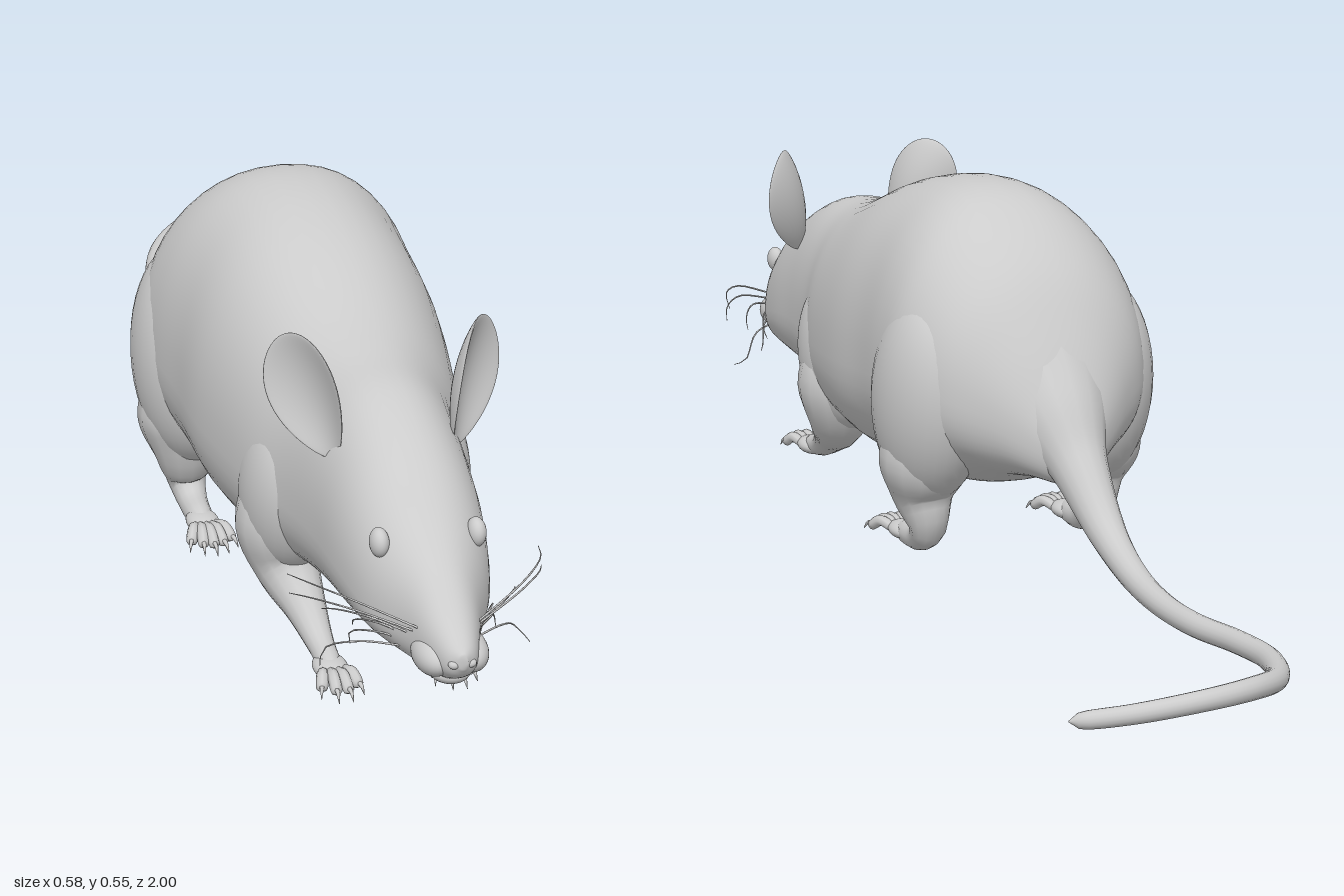
import * as THREE from 'three';
import { mergeVertices } from 'three/addons/utils/BufferGeometryUtils.js';

const V = (x, y, z) => new THREE.Vector3(x, y, z);
const material = new THREE.MeshStandardMaterial({ color: 0xcccccc, roughness: 0.8 });
const CX = -0.073; // the body sits left of the curling tail

function mesh(name, geometry) {
  const m = new THREE.Mesh(geometry, material);
  m.name = name;
  return m;
}

// Weld seams so the normals run smoothly all round
function weld(geometry) {
  geometry.deleteAttribute('uv');
  geometry.deleteAttribute('normal');
  const g = mergeVertices(geometry, 1e-5);
  g.computeVertexNormals();
  return g;
}

// Tube whose radius follows the fourth number of each point [x, y, z, r]
function taperedTube(points, steps = 24, sides = 14) {
  const path = new THREE.CatmullRomCurve3(points.map(p => V(p[0], p[1], p[2])));
  const radii = new THREE.CatmullRomCurve3(points.map(p => V(p[3], 0, 0)), false, 'catmullrom');
  const g = new THREE.TubeGeometry(path, steps, 1, sides);
  const pos = g.attributes.position, v = V(0, 0, 0);
  for (let i = 0; i <= steps; i++) {
    const c = path.getPointAt(i / steps);
    const r = Math.max(0.0003, radii.getPoint(path.getUtoTmapping(i / steps)).x);
    for (let j = 0; j <= sides; j++) {
      const k = i * (sides + 1) + j;
      v.fromBufferAttribute(pos, k).sub(c).multiplyScalar(r).add(c);
      pos.setXYZ(k, v.x, v.y, v.z);
    }
  }
  return weld(g);
}

function ellipsoid(name, center, radii, tilt = 0) {
  const m = mesh(name, new THREE.SphereGeometry(1, 32, 24));
  m.position.set(...center);
  m.scale.set(...radii);
  m.rotation.x = tilt;
  return m;
}

// Head and torso: cross-sections of [z, bottom, widest height, top, half width]
function bodyGeometry() {
  const rows = [
    [1.0, 0.176, 0.185, 0.195, 0.006], [0.985, 0.158, 0.18, 0.207, 0.022],
    [0.95, 0.142, 0.185, 0.232, 0.036], [0.9, 0.136, 0.19, 0.272, 0.054],
    [0.83, 0.135, 0.2, 0.32, 0.086], [0.75, 0.13, 0.22, 0.378, 0.103],
    [0.65, 0.122, 0.23, 0.423, 0.113], [0.55, 0.11, 0.23, 0.44, 0.13],
    [0.45, 0.09, 0.24, 0.465, 0.16], [0.3, 0.083, 0.25, 0.52, 0.185],
    [0.18, 0.09, 0.26, 0.547, 0.19], [0.08, 0.1, 0.27, 0.547, 0.2],
    [0, 0.11, 0.27, 0.515, 0.2], [-0.08, 0.14, 0.27, 0.45, 0.168],
    [-0.14, 0.15, 0.25, 0.36, 0.11], [-0.19, 0.15, 0.21, 0.26, 0.05],
    [-0.22, 0.16, 0.185, 0.21, 0.02],
  ];
  const low = new THREE.CatmullRomCurve3(rows.map(r => V(r[0], r[1], r[2])), false, 'catmullrom');
  const high = new THREE.CatmullRomCurve3(rows.map(r => V(r[3], r[4], 0)), false, 'catmullrom');
  const n = 80, sides = 48, pos = [], index = [];
  const soft = c => Math.sign(c) * Math.pow(Math.abs(c), 2 / 2.2);
  for (let i = 0; i <= n; i++) {
    const a = low.getPoint(i / n), b = high.getPoint(i / n);
    for (let j = 0; j < sides; j++) {
      const t = (j / sides) * Math.PI * 2, s = soft(Math.sin(t));
      pos.push(soft(Math.cos(t)) * b.y, a.z + s * (s > 0 ? b.x - a.z : a.z - a.y), a.x);
      if (i === n) continue;
      const p = i * sides + j, q = i * sides + (j + 1) % sides;
      index.push(p, p + sides, q, q, p + sides, q + sides);
    }
  }
  // close the nose and rump
  for (let j = 1; j < sides - 1; j++) {
    index.push(0, j, j + 1, n * sides, n * sides + j + 1, n * sides + j);
  }
  const g = new THREE.BufferGeometry();
  g.setAttribute('position', new THREE.Float32BufferAttribute(pos, 3));
  g.setIndex(index);
  g.computeVertexNormals();
  return g;
}

// Cupped ear: a flattened sphere bent into a dish, narrow at its root
function earGeometry(s) {
  const g = new THREE.SphereGeometry(1, 32, 32);
  const pos = g.attributes.position;
  for (let i = 0; i < pos.count; i++) {
    const x = pos.getX(i), y = pos.getY(i), z = pos.getZ(i);
    const cup = x * x + 0.5 * y * y - 1;
    pos.setXYZ(i, x * 0.062 * (0.92 + 0.2 * y - 0.12 * y * y), y * 0.09, z * 0.007 + cup * 0.026 + 0.012);
  }
  const up = V(0.29 * s, 0.92, -0.26).normalize();
  const out = V(0.74 * s, 0, 0.67);
  const side = up.clone().cross(out).normalize();
  out.crossVectors(side, up);
  g.applyMatrix4(new THREE.Matrix4().makeBasis(side, up, out).setPosition(0.112 * s, 0.425, 0.645));
  return weld(g);
}

// Paw with a palm and fanned, clawed toes
function paw(name, x, z, length, spread, toes) {
  const g = new THREE.Group();
  g.name = name;
  g.add(ellipsoid('palm', [x, 0.018, z], [0.024, 0.014, 0.036]));
  for (let i = 0; i < toes; i++) {
    const f = (i / (toes - 1)) * 2 - 1;
    const reach = length * (1 - 0.28 * f * f);
    const at = (k, y, r) => [x + f * (0.014 + spread * k), y, z + 0.015 + reach * k, r];
    g.add(mesh('toe', taperedTube(
      [at(0, 0.018, 0.007), at(0.4, 0.024, 0.0085), at(0.72, 0.013, 0.008), at(0.8, 0.011, 0.001)], 10, 8)));
    g.add(mesh('claw', taperedTube(
      [at(0.7, 0.016, 0.004), at(0.85, 0.015, 0.003), at(1, 0.004, 0.0004)], 6, 6)));
  }
  return g;
}

export function createModel() {
  const model = new THREE.Group();
  model.name = 'rodent';
  const body = new THREE.Group();
  body.name = 'bodyGroup';
  body.position.x = CX;
  model.add(body);

  body.add(mesh('body', bodyGeometry()));
  body.add(ellipsoid('nose', [0, 0.183, 0.985], [0.019, 0.015, 0.014]));
  body.add(ellipsoid('chin', [0, 0.147, 0.935], [0.028, 0.016, 0.032]));

  for (const s of [1, -1]) {
    const side = s > 0 ? 'left' : 'right';
    const add = (part, geometry) => body.add(mesh(side + part, geometry));

    // face
    add('Ear', earGeometry(s));
    body.add(ellipsoid(side + 'Eye', [0.066 * s, 0.288, 0.83], [0.013, 0.02, 0.019]));
    body.add(ellipsoid(side + 'Cheek', [0.024 * s, 0.172, 0.935], [0.026, 0.026, 0.045]));
    body.add(ellipsoid(side + 'NostrilRim', [0.011 * s, 0.181, 0.992], [0.008, 0.006, 0.007]));
    for (let i = 0; i < 6; i++) {
      const y = 0.205 - 0.008 * i, end = 0.238 - 0.022 * i, reach = 0.115 + 0.045 * Math.sin(i * 1.1 + 1);
      add('Whisker', taperedTube([
        [0.036 * s, y, 0.93 - 0.006 * i, 0.0016],
        [(0.04 + reach * 0.45) * s, (y + end) / 2 + 0.012, 0.89 - 0.008 * i, 0.0014],
        [(0.04 + reach * 0.75) * s, end, 0.83 - 0.006 * i, 0.001],
        [(0.02 + reach) * s, end - 0.012, 0.765 + 0.012 * i, 0.0005]], 10, 5));
    }

    // front leg
    body.add(ellipsoid(side + 'Shoulder', [0.095 * s, 0.215, 0.465], [0.068, 0.125, 0.095], 0.2));
    add('FrontLeg', taperedTube([
      [0.1 * s, 0.25, 0.47, 0.04], [0.108 * s, 0.17, 0.462, 0.062], [0.1 * s, 0.105, 0.475, 0.048],
      [0.088 * s, 0.062, 0.53, 0.03], [0.081 * s, 0.03, 0.59, 0.019], [0.08 * s, 0.02, 0.635, 0.016],
      [0.08 * s, 0.018, 0.655, 0.004]]));
    body.add(paw(side + 'FrontPaw', 0.08 * s, 0.635, 0.075, 0.016, 4));

    // hind leg
    body.add(ellipsoid(side + 'Haunch', [0.135 * s, 0.25, 0.025], [0.083, 0.165, 0.115], -0.15));
    add('HindLeg', taperedTube([
      [0.135 * s, 0.22, 0.03, 0.06], [0.142 * s, 0.15, 0.03, 0.07], [0.142 * s, 0.095, 0.035, 0.048],
      [0.139 * s, 0.05, 0.025, 0.03], [0.137 * s, 0.024, 0.055, 0.022], [0.137 * s, 0.018, 0.11, 0.018],
      [0.137 * s, 0.018, 0.145, 0.004]]));
    body.add(paw(side + 'HindPaw', 0.137 * s, 0.118, 0.085, 0.022, 5));
  }

  // tail sweeping round to the left
  model.add(mesh('tail', taperedTube([
    [CX, 0.28, -0.08, 0.1], [CX, 0.235, -0.145, 0.072], [-0.074, 0.185, -0.205, 0.044],
    [-0.075, 0.108, -0.3, 0.028], [-0.07, 0.07, -0.4, 0.021], [-0.065, 0.057, -0.5, 0.018],
    [-0.066, 0.056, -0.6, 0.017], [-0.078, 0.06, -0.7, 0.0165], [-0.074, 0.066, -0.8, 0.016],
    [-0.03, 0.076, -0.905, 0.016], [0.04, 0.089, -0.965, 0.0155], [0.12, 0.09, -0.985, 0.0145],
    [0.21, 0.08, -0.97, 0.0135], [0.275, 0.073, -0.947, 0.0115], [0.289, 0.072, -0.941, 0.001]], 100, 16)));

  return model;
}
